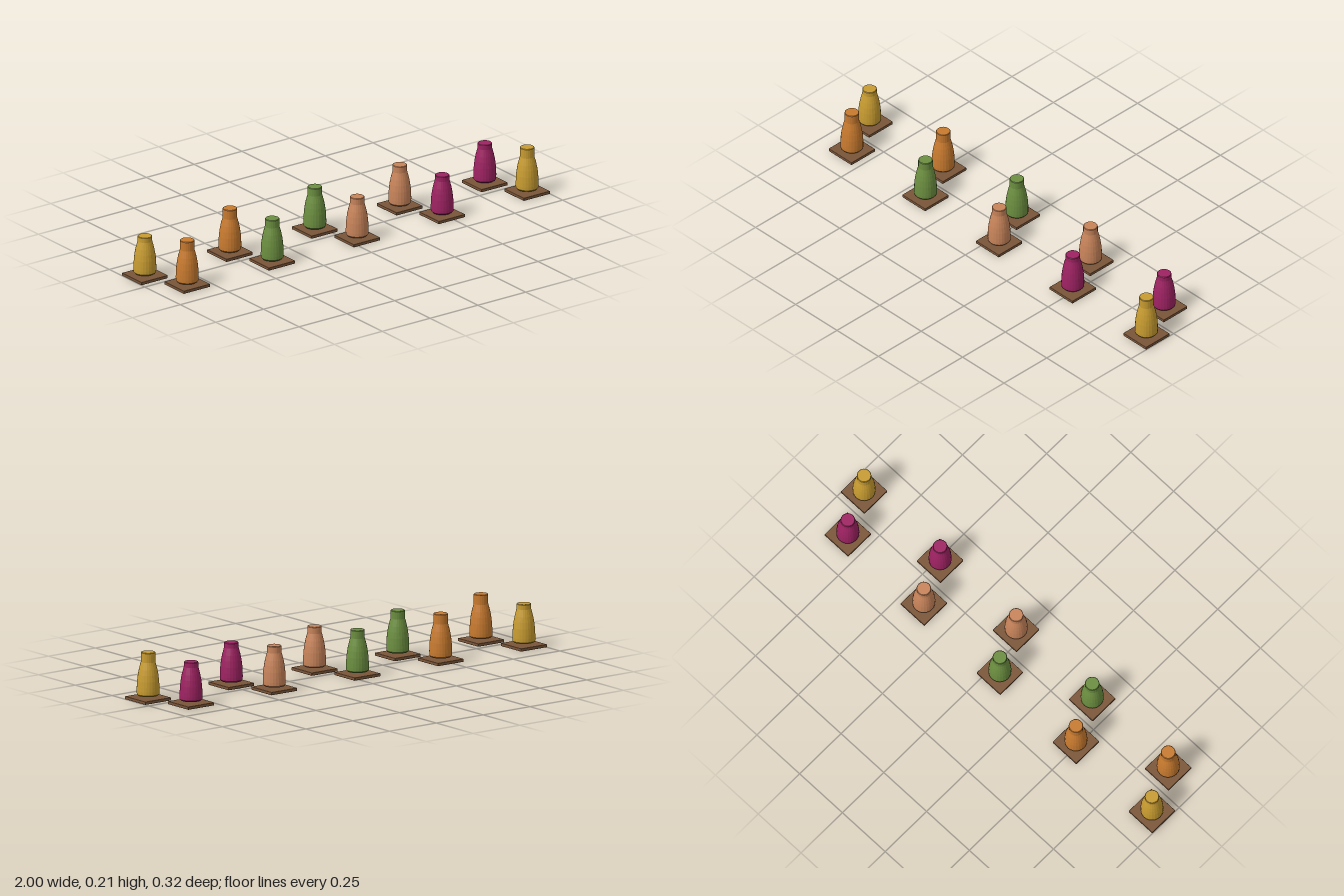
import * as THREE from 'three';
import { RoundedBoxGeometry } from 'three/addons/geometries/RoundedBoxGeometry.js';

const mat = (name, color) => {
  const m = new THREE.MeshStandardMaterial({ color });
  m.name = name;
  return m;
};

// Bottle body with a shared shoulder; only the neck length varies
function bottleGeometry(top) {
  const profile = [
    [0, 0.021], [0.043, 0.021], [0.048, 0.027], [0.0485, 0.042], [0.048, 0.06],
    [0.0465, 0.085], [0.043, 0.112], [0.0385, 0.135], [0.034, 0.152], [0.0305, 0.165],
    [0.0305, top - 0.002], [0.0285, top], [0, top],
  ].map(([r, y]) => new THREE.Vector2(r, y));
  const g = new THREE.LatheGeometry(profile, 24).toNonIndexed();
  g.computeVertexNormals(); // faceted sides
  return g;
}

export function createModel() {
  const model = new THREE.Group();
  model.name = 'bottleRows';

  const wood = mat('brown wood', 0x7a5538);
  const yellow = mat('mustard yellow', 0xc89c30);
  const orange = mat('orange', 0xc87a2e);
  const green = mat('olive green', 0x6c8f40);
  const peach = mat('peach', 0xc8845a);
  const magenta = mat('magenta', 0x9e2262);

  const trayGeo = new RoundedBoxGeometry(0.138, 0.013, 0.138, 1, 0.0015);
  const tops = { tall: 0.207, high: 0.2, mid: 0.194, low: 0.187 };
  const bottles = {};
  for (const k in tops) bottles[k] = bottleGeometry(tops[k]);

  // Two staggered rows, listed from -x to +x
  const rows = [
    { name: 'back', x: -0.931, z: -0.0925, items: [[yellow, 'low'], [orange, 'tall'], [green, 'high'], [peach, 'mid'], [magenta, 'low']] },
    { name: 'front', x: -0.847, z: 0.0925, items: [[orange, 'tall'], [green, 'high'], [peach, 'mid'], [magenta, 'low'], [yellow, 'tall']] },
  ];

  for (const row of rows) {
    row.items.forEach(([color, size], i) => {
      const unit = new THREE.Group();
      unit.name = `${row.name}Bottle${i + 1}`;
      unit.position.set(row.x + i * 0.4445, 0, row.z);

      const tray = new THREE.Mesh(trayGeo, wood);
      tray.name = 'tray';
      tray.position.y = 0.0065;

      const bottle = new THREE.Mesh(bottles[size], color);
      bottle.name = 'bottle';

      unit.add(tray, bottle);
      model.add(unit);
    });
  }
  return model;
}
